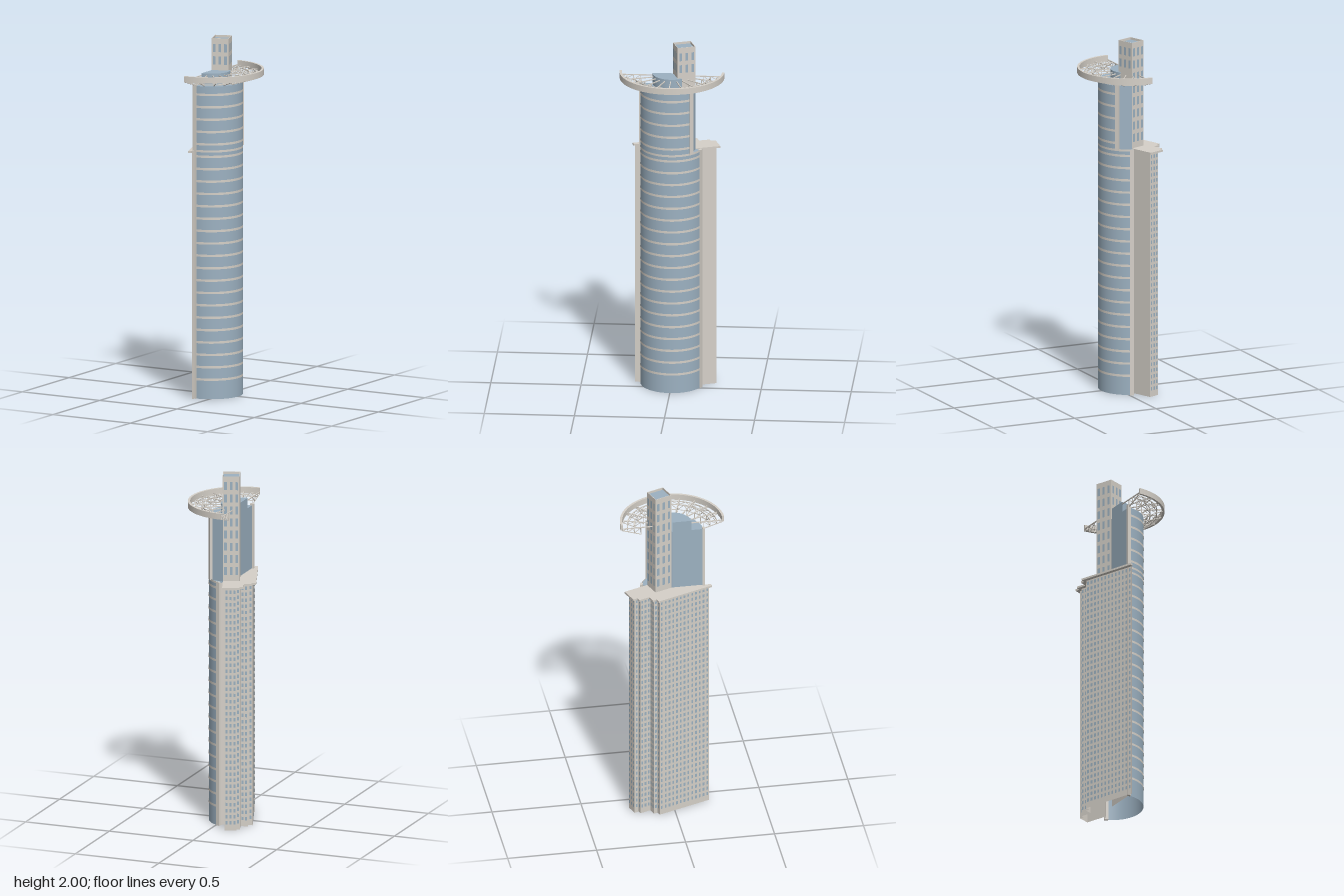
import * as THREE from 'three';
import { mergeGeometries } from 'three/addons/utils/BufferGeometryUtils.js';

const rad = THREE.MathUtils.degToRad;
const CX = -0.08;            // axis of the round tower
const R = 0.175;             // radius of the round tower
const FLOOR = 0.0697;        // storey height

const mat = (name, color) => new THREE.MeshStandardMaterial({ name, color, side: THREE.DoubleSide });

export function createModel() {
  const glass = mat('blue glass', 0x9cb1c1);
  const stone = mat('pale stone', 0xd5d0c8);
  const model = new THREE.Group();
  model.name = 'tower';

  const add = (name, geo, material, parent = model) => {
    const m = new THREE.Mesh(geo, material);
    m.name = name;
    parent.add(m);
    return m;
  };

  // Upright walls following a list of [x, z] points
  const walls = (pts, y0, y1) => {
    const pos = [];
    for (let i = 0; i < pts.length - 1; i++) {
      const [ax, az] = pts[i], [bx, bz] = pts[i + 1];
      pos.push(ax, y0, az, ax, y1, az, bx, y1, bz, ax, y0, az, bx, y1, bz, bx, y0, bz);
    }
    const g = new THREE.BufferGeometry();
    g.setAttribute('position', new THREE.Float32BufferAttribute(pos, 3));
    g.computeVertexNormals();
    return g;
  };

  // Flat slab (or a single sheet when thick = 0) from [x, z] points
  const slab = (pts, y, thick = 0) => {
    const s = new THREE.Shape(pts.map(([x, z]) => new THREE.Vector2(x, -z)));
    const g = thick
      ? new THREE.ExtrudeGeometry(s, { depth: thick, bevelEnabled: false })
      : new THREE.ShapeGeometry(s);
    return g.rotateX(-Math.PI / 2).translate(0, y, 0);
  };

  // Open curved wall; angle runs from +z through +x
  const drum = (r, y0, y1, deg) =>
    new THREE.CylinderGeometry(r, r, y1 - y0, 48, 1, true, 0, rad(deg)).translate(CX, (y0 + y1) / 2, 0);
  const onArc = (r, deg) => [CX + r * Math.sin(rad(deg)), r * Math.cos(rad(deg))];
  const arc = (r, deg, n = 40) => Array.from({ length: n + 1 }, (_, i) => onArc(r, (deg * i) / n));

  // Grid of thin window panes on the wall running from a to b
  const windows = (a, b, y, cols, rows, pitch, w, h) => {
    const dx = b[0] - a[0], dz = b[1] - a[1], len = Math.hypot(dx, dz);
    const nx = dz / len, nz = -dx / len, out = [];
    for (let c = 0; c < cols; c++) {
      const t = (c + 0.5) / cols;
      for (let r = 0; r < rows; r++) {
        out.push(new THREE.PlaneGeometry(w, h)
          .rotateY(Math.atan2(nx, nz))
          .translate(a[0] + dx * t + nx * 0.0015, y + r * pitch, a[1] + dz * t + nz * 0.0015));
      }
    }
    return out;
  };

  // ---- Round glass tower: lower part and cut-back upper part ----
  const LOW = 158, HIGH = 131, MID = 1.395, TOP = 1.76;
  const coreCorner = [-0.03, -0.135];
  add('lowerGlassWall', drum(R, 0, MID, LOW), glass);
  add('lowerGlassRoof', slab([...arc(R, LOW), [-0.042, -0.128], [CX, 0]], MID), glass);
  add('upperGlassWall', drum(R, MID, TOP, HIGH), glass);
  add('upperFlatWalls', walls([onArc(R, HIGH), coreCorner, [CX, 0], [CX, R]], MID, TOP), glass);
  add('upperRoof', slab([...arc(R, HIGH), coreCorner, [CX, 0]], TOP), glass);

  // Floor bands
  const bands = [drum(R + 0.0015, 1.389, 1.401, LOW)];
  for (let k = 0; k < 24; k++) {
    const y = 0.11 + k * FLOOR;
    bands.push(drum(R + 0.0015, y - 0.0065, y + 0.0065, y < MID ? LOW : HIGH));
  }
  add('floorBands', mergeGeometries(bands), stone);

  // Edge piers standing on the curve
  for (const [name, deg, y0, y1] of [
    ['frontPier', 0, 0, 1.77], ['rearLowerPier', LOW, 0, 1.4], ['rearUpperPier', HIGH, MID, 1.77]]) {
    const [x, z] = onArc(R, deg);
    const p = add(name, new THREE.BoxGeometry(0.022, y1 - y0, 0.014), stone);
    p.position.set(x, (y0 + y1) / 2, z);
    p.rotation.y = rad(deg);
  }

  // Penthouse drum
  add('penthouseWall', drum(0.107, TOP, 1.82, 125), glass);
  add('penthouseFlatWall', walls([[CX, 0], [CX, 0.107]], TOP, 1.82), glass);
  add('penthouseRoof', slab([...arc(0.107, 125), [CX, 0]], 1.82), glass);

  // ---- Stepped stone block and lift core, turned about the vertical ----
  const turned = new THREE.Group();
  turned.name = 'steppedBlock';
  turned.rotation.y = rad(20.2);
  model.add(turned);

  const block = [[-0.147, 0.165], [-0.147, -0.15], [-0.122, -0.15], [-0.122, -0.172], [-0.08, -0.172],
    [-0.08, -0.235], [-0.06, -0.235], [-0.06, -0.26], [0.005, -0.26], [0.005, -0.135]];
  add('blockWalls', walls(block, 0, 1.392), stone, turned);
  add('blockEndWall', walls([[CX, 0], [CX, 0.206]], 0, 1.392), stone);
  add('blockJoint', walls([onArc(R, LOW), [-0.042, -0.128]], 0, 1.392), stone);
  const panes = [];
  for (let i = 0; i < 8; i++) {
    const a = block[i], b = block[i + 1];
    const cols = Math.max(1, Math.round(Math.hypot(b[0] - a[0], b[1] - a[1]) / 0.025));
    panes.push(...windows(a, b, 0.045, cols, 39, FLOOR / 2, 0.011, 0.02));
  }
  add('blockWindows', mergeGeometries(panes), glass, turned);
  add('blockRoof', slab([[-0.167, 0.173], [-0.167, -0.168], [-0.142, -0.168], [-0.142, -0.191],
    [-0.1, -0.191], [-0.1, -0.253], [-0.078, -0.253], [-0.078, -0.279], [0.018, -0.279],
    [0.018, -0.135], [-0.075, -0.028], [-0.15, 0.173]], 1.388, 0.011), stone, turned);

  // Lift core with parapet and recessed roof
  const core = [[-0.075, -0.033], [-0.075, -0.135], [0.02, -0.135], [0.02, -0.033], [-0.075, -0.033]];
  const inner = core.map(([x, z]) => [-0.0275 + (x + 0.0275) * 0.94, -0.084 + (z + 0.084) * 0.94]);
  add('coreWalls', walls(core, 1.39, 2), stone, turned);
  add('coreParapetInside', walls(inner, 1.985, 2), stone, turned);
  const rim = new THREE.Shape(core.slice(0, 4).map(([x, z]) => new THREE.Vector2(x, -z)));
  rim.holes.push(new THREE.Path(inner.slice(0, 4).map(([x, z]) => new THREE.Vector2(x, -z))));
  add('coreParapetTop', new THREE.ShapeGeometry(rim).rotateX(-Math.PI / 2).translate(0, 2, 0), stone, turned);
  add('coreRoof', slab(inner.slice(0, 4), 1.987), glass, turned);
  const corePanes = [];
  for (let i = 0; i < 4; i++) {
    const low = i < 2;       // only the outer faces show below the main roof
    corePanes.push(...windows(core[i], core[i + 1], low ? 1.4572 : 1.8754, 3, low ? 8 : 2, FLOOR + 0.0, 0.015, 0.046));
  }
  add('coreWindows', mergeGeometries(corePanes), glass, turned);

  // ---- Half-ring canopy on trusses ----
  const canopy = new THREE.Group();
  canopy.name = 'canopy';
  model.add(canopy);
  const halfRing = (r0, r1, y, h) => {
    const s = new THREE.Shape();
    s.absarc(0, 0, r1, -Math.PI / 2, Math.PI / 2, false);
    s.absarc(0, 0, r0, Math.PI / 2, -Math.PI / 2, true);
    return new THREE.ExtrudeGeometry(s, { depth: h, bevelEnabled: false, curveSegments: 40 })
      .rotateX(-Math.PI / 2).translate(CX, y, 0);
  };
  add('canopyRim', halfRing(0.278, 0.291, 1.798, 0.034), stone, canopy);
  add('canopyMiddleRing', halfRing(0.248, 0.252, 1.804, 0.005), stone, canopy);
  add('canopyInnerRing', halfRing(0.211, 0.215, 1.804, 0.005), stone, canopy);

  const bars = [];
  const at = (r, y, deg) => { const [x, z] = onArc(r, deg); return new THREE.Vector3(x, y, z); };
  const bar = (a, b, t) => {
    const d = b.clone().sub(a), m = new THREE.Matrix4();
    m.lookAt(b, a, new THREE.Vector3(0, 1, 0)).setPosition(a.clone().add(b).multiplyScalar(0.5));
    bars.push(new THREE.BoxGeometry(t, t, d.length()).applyMatrix4(m));
  };
  const lowY = (r) => 1.763 + (r - 0.175) * 0.32;
  const stations = [0.176, 0.213, 0.25, 0.28];
  for (let i = 0; i <= 10; i++) {
    const deg = i * 18;
    bar(at(0.107, 1.807, deg), at(0.282, 1.807, deg), 0.005);
    bar(at(0.176, lowY(0.176), deg), at(0.282, lowY(0.282), deg), 0.004);
    for (let s = 0; s < 3; s++) {
      const r = stations[s], q = stations[s + 1];
      bar(at(r, lowY(r), deg), at(r + 0.0005, 1.807, deg), 0.003);
      bar(at(r, 1.807, deg), at(q, lowY(q), deg), 0.003);
    }
    // Cross bracing between neighbouring trusses
    if (i < 10) for (const r of [0.213, 0.25]) {
      for (const [p, q] of [[0, 9], [18, 9]]) bar(at(r, lowY(r), deg + p), at(r, 1.806, deg + q), 0.003);
      for (const p of [0, 9]) bar(at(r, lowY(r), deg + p), at(r, lowY(r), deg + p + 9), 0.003);
    }
  }
  add('canopyTrusses', mergeGeometries(bars), stone, canopy);

  return model;
}
